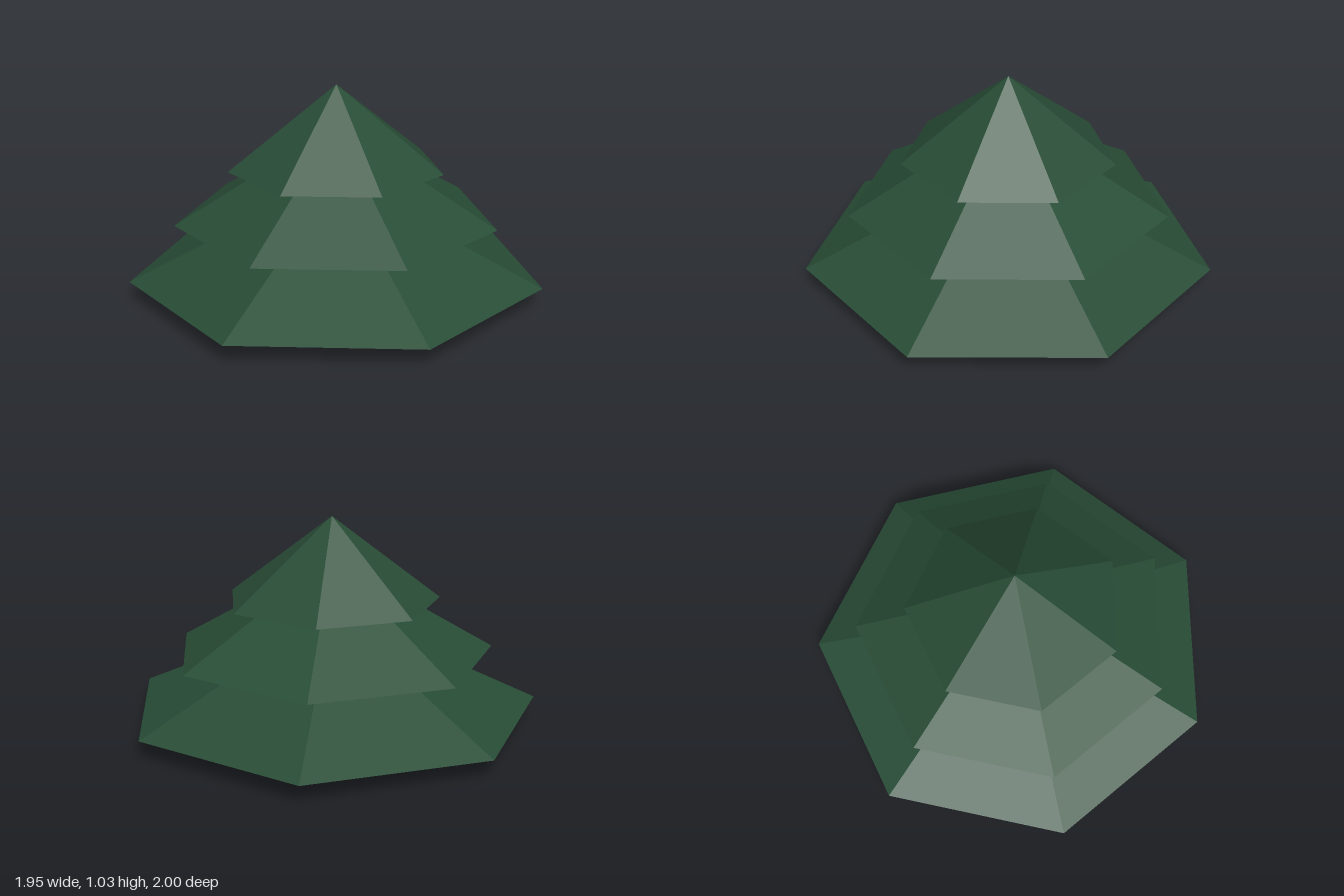
import * as THREE from 'three';

export function createModel() {
  const tree = new THREE.Group();
  tree.name = 'pineTree';
  const green = new THREE.MeshStandardMaterial({ color: 0x284d36 });
  green.name = 'pineGreen';

  // Faceted cone or prism standing on y = base, with one corner towards +x
  function addPart(name, topRadius, radius, base, height, sides) {
    const geometry = new THREE.CylinderGeometry(
      topRadius, radius, height, sides, 1, false, Math.PI / 2).toNonIndexed();
    geometry.computeVertexNormals();
    const mesh = new THREE.Mesh(geometry, green);
    mesh.name = name;
    mesh.position.set(-0.051, base + height / 2, 0);
    tree.add(mesh);
  }

  // Short six-sided trunk
  addPart('trunk', 0.052, 0.052, 0, 0.12, 6);

  // Three overlapping seven-sided tiers of branches
  addPart('lowerBranches', 0, 1.025, 0.087, 0.48, 7);
  addPart('middleBranches', 0, 0.797, 0.362, 0.468, 7);
  addPart('upperBranches', 0, 0.531, 0.618, 0.41, 7);

  return tree;
}
